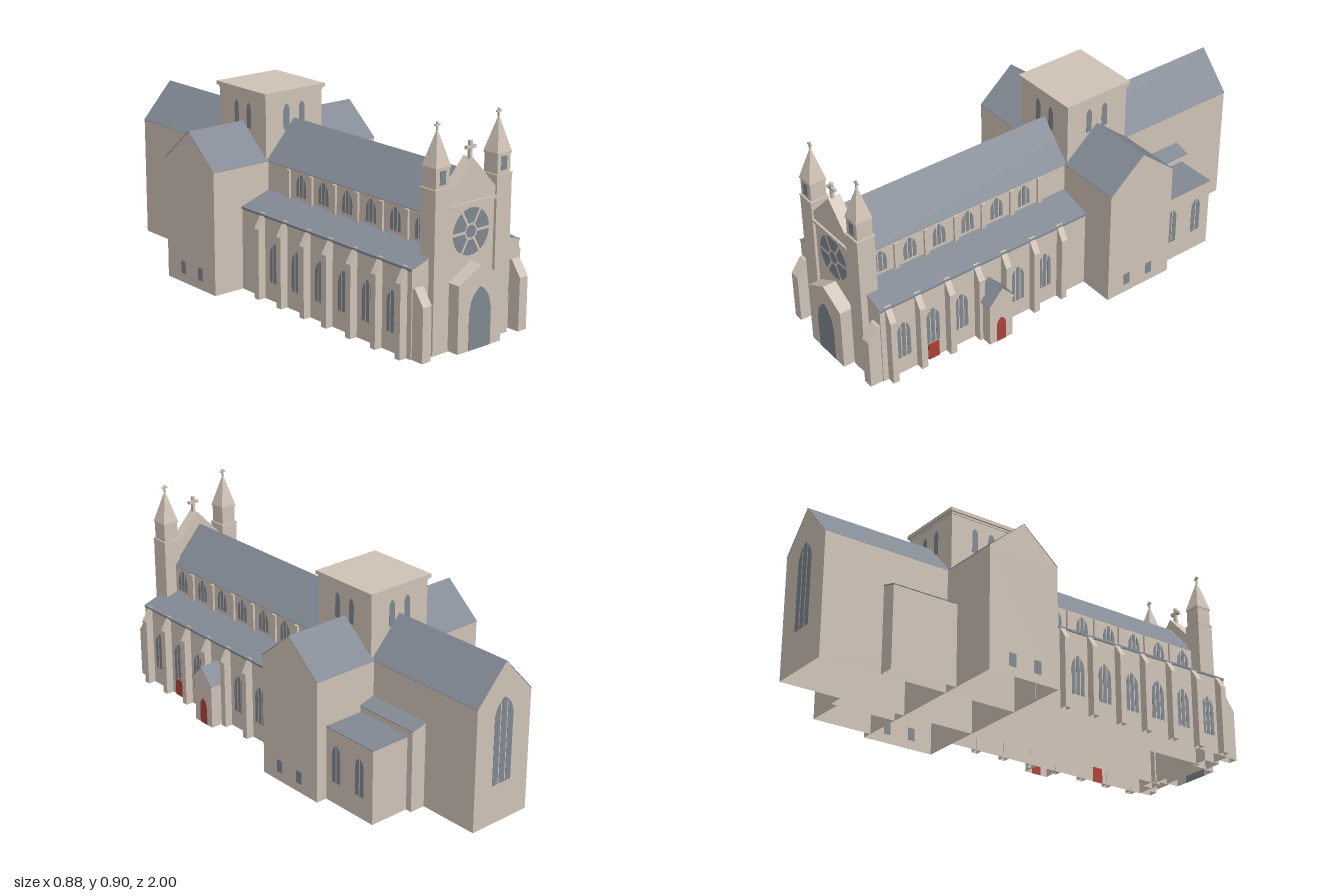
import * as THREE from 'three';

export function createModel() {
  const model = new THREE.Group();
  model.name = 'church';
  const body = new THREE.Group();
  body.name = 'churchBody';
  body.position.x = -0.007;
  model.add(body);

  const material = (name, color) => {
    const m = new THREE.MeshStandardMaterial({ color, side: THREE.DoubleSide });
    m.name = name;
    return m;
  };
  const stone = material('stone', 0xd1c4b8);
  const slate = material('slate', 0x838a95);
  const glass = material('glass', 0x808991);
  const red = material('redDoor', 0xac4237);

  // Walls are hollow shells: faces lying on the ground are dropped
  const openBase = geo => {
    const g = geo.index ? geo.toNonIndexed() : geo, p = g.attributes.position, keep = [];
    for (let i = 0; i < p.count; i += 3)
      if (Math.max(p.getY(i), p.getY(i + 1), p.getY(i + 2)) > 1e-5) keep.push(i, i + 1, i + 2);
    g.setIndex(keep);
    return g;
  };
  const add = (name, geo, mat) => {
    const mesh = new THREE.Mesh(openBase(geo), mat);
    mesh.name = name;
    body.add(mesh);
    return mesh;
  };
  const box = (name, x0, x1, y0, y1, z0, z1, mat = stone) => {
    const g = new THREE.BoxGeometry(Math.abs(x1 - x0), y1 - y0, z1 - z0);
    g.translate((x0 + x1) / 2, (y0 + y1) / 2, (z0 + z1) / 2);
    return add(name, g, mat);
  };
  const extrude = (pts, depth) => new THREE.ExtrudeGeometry(
    new THREE.Shape(pts.map(p => new THREE.Vector2(...p))), { depth, bevelEnabled: false });
  // Profile in (x, y), swept along z
  const prismZ = (name, pts, z0, z1, mat = stone) =>
    add(name, extrude(pts, z1 - z0).translate(0, 0, z0), mat);
  // Profile in (z, y), swept along x
  const prismX = (name, pts, x0, x1, mat = stone) =>
    add(name, extrude(pts.map(([z, y]) => [-z, y]), x1 - x0).rotateY(Math.PI / 2).translate(x0, 0, 0), mat);

  const gable = (c, w, y0, eave, ridge) =>
    [[c - w, y0], [c + w, y0], [c + w, eave], [c, ridge], [c - w, eave]];
  const chevron = (c, w, eave, ridge, t = 0.002) =>
    [[c - w, eave - t], [c, ridge - t], [c + w, eave - t], [c + w, eave], [c, ridge], [c - w, eave]];

  // Pointed-arch plate divided into lights by mullions; yaw 0 faces +z
  const lancet = (name, x, y, z, w, h, yaw, lights = 1, mat = glass) => {
    const r = w / 2, rise = Math.min(w * 0.866, h * 0.6), gap = lights > 1 ? 0.006 : 0;
    const top = u => h - rise + rise * Math.sqrt(Math.max(0, 4 - (Math.abs(u) / r + 1) ** 2) / 3);
    const lw = (w - gap * (lights - 1)) / lights, steps = 12;
    for (let i = 0; i < lights; i++) {
      const a = -r + i * (lw + gap), pts = [[a + lw, 0], [a, 0]];
      for (let k = 0; k <= steps; k++) pts.push([a + lw * k / steps, top(a + lw * k / steps)]);
      const m = add(name, extrude(pts, 0.002), mat);
      m.position.set(x, y, z);
      m.rotation.y = yaw;
    }
  };
  const side = s => s * Math.PI / 2;
  const cross = (name, x, y, z, h, w, t) => {
    box(name + 'Post', x - t / 2, x + t / 2, y, y + h, z - t / 2, z + t / 2);
    box(name + 'Arm', x - w / 2, x + w / 2, y + h * 0.55, y + h * 0.55 + t, z - t / 2, z + t / 2);
  };

  // Nave and chancel
  prismZ('naveWalls', gable(0, 0.1455, 0, 0.5275, 0.6875), -0.999, 0.89);
  prismZ('naveRoof', chevron(0, 0.147, 0.53, 0.69), -1, 0.88, slate);
  lancet('eastWindow', 0, 0.17, -0.998, 0.1, 0.37, Math.PI, 3);

  // Transept
  prismX('transeptWalls', gable(-0.265, 0.1655, 0, 0.5275, 0.6685), -0.43, 0.443);
  prismX('transeptRoof', chevron(-0.265, 0.167, 0.53, 0.671), -0.431, 0.444, slate);
  for (const z of [-0.2, -0.32]) {
    box('transeptRightWindow', 0.442, 0.4445, 0.04, 0.095, z - 0.016, z + 0.016, glass);
    box('transeptLeftWindow', -0.4315, -0.429, 0.04, 0.095, z - 0.016, z + 0.016, glass);
  }

  // Crossing tower
  box('crossingTower', -0.151, 0.151, 0.4, 0.79, -0.419, -0.108);
  box('towerCorniceLower', -0.154, 0.154, 0.79, 0.799, -0.422, -0.105);
  box('towerCorniceUpper', -0.161, 0.161, 0.799, 0.815, -0.429, -0.099);
  for (const k of [-0.041, 0.041]) {
    lancet('towerFrontWindow', k, 0.645, -0.109, 0.03, 0.111, 0);
    lancet('towerBackWindow', k, 0.645, -0.418, 0.03, 0.111, Math.PI);
    for (const s of [-1, 1])
      lancet('towerSideWindow', s * 0.15, 0.645, -0.262 + k, 0.028, 0.11, side(s));
  }

  const bays = [0.82, 0.68, 0.54, 0.4, 0.255, 0.115];
  const piers = [0.885, 0.747, 0.604, 0.46, 0.325, 0.18, 0.037];
  for (const s of [-1, 1]) {
    const m = pts => pts.map(([x, y]) => [s * x, y]);
    // Aisles with lean-to roofs
    prismZ('aisleWalls', m([[0.1455, 0], [0.285, 0], [0.285, 0.357], [0.1455, 0.401]]), -0.1, 0.923);
    prismZ('aisleRoof', m([[0.145, 0.4025], [0.289, 0.357], [0.289, 0.36], [0.145, 0.4055]]), -0.1, 0.925, slate);
    box('aisleGutter', s * 0.284, s * 0.289, 0.35, 0.357, -0.1, 0.922, slate);
    // Choir chapels
    prismZ('chapelWalls', m([[0.1455, 0], [0.215, 0], [0.215, 0.353], [0.1455, 0.372]]), -0.728, -0.43);
    prismZ('chapelRoof', m([[0.145, 0.373], [0.218, 0.353], [0.218, 0.356], [0.145, 0.376]]), -0.73, -0.43, slate);

    // Buttresses and clerestory piers
    for (const z of piers) {
      prismZ('buttress', m([[0.284, 0], [0.32, 0], [0.32, 0.302], [0.281, 0.366], [0.281, 0.35]]), z - 0.014, z + 0.014);
      box('clerestoryPier', s * 0.145, s * 0.155, 0.39, 0.524, z - 0.01, z + 0.01);
    }
    bays.forEach((z, i) => {
      lancet('clerestoryWindow', s * 0.145, 0.42, z, 0.06, 0.098, side(s), 3);
      if (!(s > 0 && i === 3)) lancet('aisleWindow', s * 0.2845, 0.08, z, 0.064, 0.172, side(s), 3);
    });
    lancet('aisleFrontWindow', s * 0.207, 0.115, 0.922, 0.052, 0.115, 0);

    // Corner buttresses
    prismX('cornerButtress', [[0.923, 0], [0.98, 0], [0.98, 0.222], [0.935, 0.285], [0.923, 0.285]],
      s * 0.258 - 0.022, s * 0.258 + 0.022);

    // Facade turrets with spires
    const cx = s * 0.161, cz = 0.912;
    const turret = (name, r, y0, y1) => box(name, cx - r, cx + r, y0, y1, cz - r, cz + r);
    turret('turretShaft', 0.04, 0, 0.645);
    turret('turretLedge', 0.042, 0.645, 0.652);
    turret('turretBelfry', 0.035, 0.652, 0.73);
    turret('spireLedge', 0.038, 0.728, 0.734);
    const spire = new THREE.ConeGeometry(0.038 * Math.SQRT2, 0.142, 4).rotateY(Math.PI / 4).toNonIndexed();
    spire.computeVertexNormals();
    add('spire', spire.translate(cx, 0.805, cz), stone);
    cross('spireCross', cx, 0.868, cz, 0.032, 0.025, 0.007);
    box('belfryWindow', cx - 0.015, cx + 0.015, 0.666, 0.72, cz + 0.034, cz + 0.037, glass);
  }

  // West facade
  box('facadeWall', -0.1215, 0.1215, 0, 0.561, 0.88, 0.94);
  box('facadeLedge', -0.1215, 0.1215, 0.561, 0.574, 0.88, 0.953);
  prismZ('facadeGable', gable(0, 0.1215, 0.574, 0.61, 0.74), 0.89, 0.944);
  cross('gableCross', 0, 0.735, 0.925, 0.07, 0.05, 0.013);

  // Rose window
  for (let i = 0; i < 6; i++) {
    const a = i * Math.PI / 3, b = a + Math.PI / 3, R = 0.094, r = 0.034, g = 0.0065;
    const s = new THREE.Shape();
    s.absarc(0, 0, R, a + g / R, b - g / R, false);
    s.absarc(0, 0, r, b - g / r, a + g / r, true);
    const geo = new THREE.ExtrudeGeometry(s, { depth: 0.003, bevelEnabled: false, curveSegments: 8 });
    add('rosePetal', geo.translate(0, 0.453, 0.939), glass);
  }
  add('roseHub', new THREE.CylinderGeometry(0.025, 0.025, 0.004, 20).rotateX(Math.PI / 2)
    .translate(0, 0.453, 0.94), glass);

  // West portal
  prismZ('portal', gable(0, 0.115, 0, 0.274, 0.336), 0.94, 0.999);
  lancet('portalDoor', 0, 0, 0.998, 0.116, 0.25, 0);

  // South porch with overhanging gabled roof, and doors
  box('porchWalls', 0.285, 0.367, 0, 0.2, 0.345, 0.459);
  prismX('porchGable', [[0.336, 0.199], [0.468, 0.199], [0.402, 0.27]], 0.27, 0.376);
  prismX('porchRoof', chevron(0.402, 0.068, 0.2, 0.273), 0.27, 0.377, slate);
  lancet('porchDoor', 0.366, 0, 0.402, 0.046, 0.118, side(1), 1, red);
  box('aisleDoor', 0.284, 0.29, 0, 0.076, 0.655, 0.707, red);

  // Vestry beside the choir
  box('vestryWalls', 0.215, 0.395, 0, 0.323, -0.7, -0.43);
  box('vestryRoof', 0.215, 0.396, 0.323, 0.326, -0.701, -0.43, slate);
  for (const z of [-0.49, -0.625])
    lancet('vestryWindow', 0.394, 0.095, z, 0.048, 0.168, side(1), 2);

  return model;
}
